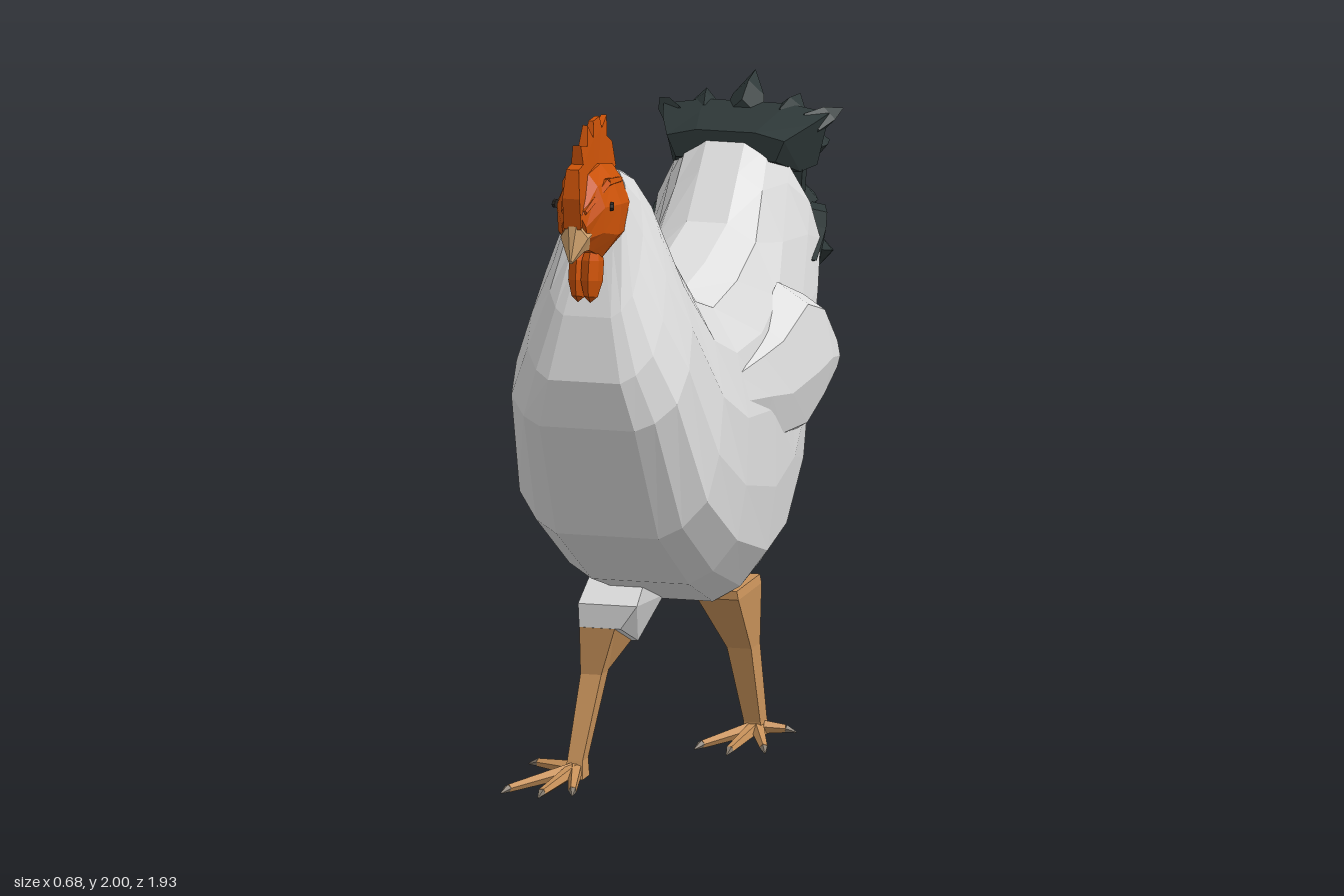
import * as THREE from 'three';

const V = (x, y, z) => new THREE.Vector3(x, y, z);
const mat = (name, color) => {
  const m = new THREE.MeshStandardMaterial({ color });
  m.name = name;
  return m;
};

// Faceted closed surface through equal-length rings, wound outward by signed volume
function loft(rings) {
  const tris = [], n = rings[0].length;
  const mid = r => r.reduce((s, p) => s.add(p), V(0, 0, 0)).divideScalar(n);
  for (let i = 0; i + 1 < rings.length; i++)
    for (let j = 0; j < n; j++) {
      const k = (j + 1) % n, A = rings[i], B = rings[i + 1];
      tris.push([A[j], A[k], B[k]], [A[j], B[k], B[j]]);
    }
  const first = rings[0], last = rings[rings.length - 1], c0 = mid(first), c1 = mid(last);
  for (let j = 0; j < n; j++) {
    const k = (j + 1) % n;
    tris.push([c0, first[k], first[j]], [c1, last[j], last[k]]);
  }
  const volume = tris.reduce((s, [a, b, c]) => s + a.dot(b.clone().cross(c)), 0);
  if (volume < 0) tris.forEach(t => t.reverse());
  const g = new THREE.BufferGeometry().setFromPoints(tris.flat());
  g.computeVertexNormals();
  return g;
}

function faceted(g) {
  const f = g.index ? g.toNonIndexed() : g;
  f.computeVertexNormals();
  return f;
}

// Rings spanned between a top and a bottom outline point:
// [topZ, topY, bottomZ, bottomY, halfWidth, lower squareness, upper narrowness]
function sections(stations, profile) {
  return stations.map(([tz, ty, bz, by, w, q, u]) => {
    const half = profile(q, u).map(([t, f]) => V(w * f, ty + (by - ty) * t, tz + (bz - tz) * t));
    return [...half, ...half.map(p => V(-p.x, p.y, p.z)).reverse()];
  });
}

// Four-sided horizontal rings: [x, y, z, halfX, halfZ, rise toward the front]
const legRings = list => list.map(([x, y, z, a, b, tilt = 0]) => [
  V(x - a, y + tilt, z + b), V(x + a, y + tilt, z + b), V(x + a, y - tilt, z - b), V(x - a, y - tilt, z - b)]);

// Tapered stick between two points
function stick(a, b, r1, r2, sides = 5) {
  const d = b.clone().sub(a);
  const g = new THREE.CylinderGeometry(r2, r1, d.length(), sides);
  g.applyQuaternion(new THREE.Quaternion().setFromUnitVectors(V(0, 1, 0), d.normalize()));
  const c = a.clone().add(b).multiplyScalar(0.5);
  return faceted(g.translate(c.x, c.y, c.z));
}

// Diamond-section pointed feather
function feather(base, tip, w, h) {
  const ring = (t, s) => {
    const c = base.clone().lerp(tip, t);
    return [V(c.x + w * s, c.y, c.z), V(c.x, c.y + h * s, c.z), V(c.x - w * s, c.y, c.z), V(c.x, c.y - h * s, c.z)];
  };
  return loft([ring(0, 1), ring(0.5, 0.75), ring(1, 0.02)]);
}

export function createModel() {
  const group = new THREE.Group();
  const white = mat('white plumage', 0xdedede), red = mat('comb orange', 0xcb5208);
  const tan = mat('leg tan', 0xc8925a), black = mat('tail black', 0x2d3737);
  const beakMat = mat('beak', 0xcda06c), dark = mat('eye dark', 0x2a2622), claw = mat('claw grey', 0x857a6c);
  const add = (name, geo, m, parent = group) => {
    const mesh = new THREE.Mesh(geo, m);
    mesh.name = name;
    parent.add(mesh);
  };

  // Body and neck
  const bodyProfile = (q, u) => [[0, 0.22], [0.05, 0.55 - 0.08 * u], [0.2, 0.82 - 0.14 * u], [0.42, 0.98 - 0.08 * u], [0.65, 1],
    [0.84, 0.9 + 0.06 * q], [0.95, 0.58 + 0.18 * q], [1, 0.25 + 0.3 * q]];
  add('body', loft(sections([
    [0.64, 1.85, 0.74, 1.63, 0.085, 0.5, 0],
    [0.53, 1.81, 0.8, 1.45, 0.125, 1, 0.4],
    [0.44, 1.72, 0.83, 1.27, 0.19, 1, 0.8],
    [0.33, 1.55, 0.8, 1.13, 0.25, 1, 0.8],
    [0.19, 1.41, 0.59, 0.78, 0.285, 0.9, 0.3],
    [0.05, 1.37, 0.25, 0.58, 0.287, 0.8, 0],
    [-0.2, 1.4, -0.13, 0.45, 0.28, 0.4, 0],
    [-0.44, 1.46, -0.38, 0.47, 0.265, 0.4, 0.2],
    [-0.56, 1.58, -0.59, 0.62, 0.255, 0.6, 0.7],
    [-0.65, 1.67, -0.72, 1.0, 0.25, 0.8, 1],
    [-0.68, 1.67, -0.77, 1.2, 0.245, 0.9, 1],
    [-0.82, 1.54, -0.79, 1.23, 0.205, 0.9, 0.5]], bodyProfile)), white);

  // Wings, emerging from the flank and flaring backward: [z, topY, bottomY, outerX, innerX]
  for (const s of [1, -1]) {
    const rings = [
      [0.12, 1.18, 1.0, 0.265, 0.2], [-0.1, 1.2, 0.93, 0.285, 0.2], [-0.26, 1.22, 0.87, 0.3, 0.2],
      [-0.45, 1.3, 0.85, 0.325, 0.2], [-0.54, 1.25, 0.93, 0.338, 0.25], [-0.61, 1.12, 1.02, 0.338, 0.31],
    ].map(([z, t, b, o, i]) => [
      V(s * i, t, z), V(s * (i + (o - i) * 0.72), t - (t - b) * 0.13, z), V(s * o, t - (t - b) * 0.55, z),
      V(s * (i + (o - i) * 0.7), b + (t - b) * 0.12, z), V(s * i, b, z)]);
    add(s > 0 ? 'leftWing' : 'rightWing', loft(rings), white);
  }

  // Tail: upper fan, core, lower fan and broad pointed feathers
  const tail = new THREE.Group();
  tail.name = 'tail';
  group.add(tail);
  const slab = (z, w, top, bottom) => [V(-w * 0.85, bottom, z), V(-w, top - 0.02, z), V(-w * 0.5, top, z),
    V(w * 0.5, top, z), V(w, top - 0.02, z), V(w * 0.85, bottom, z)];
  add('upperFan', loft([slab(-0.63, 0.17, 1.68, 1.6), slab(-0.75, 0.215, 1.705, 1.55), slab(-0.85, 0.24, 1.72, 1.55)]), black, tail);
  add('tailCore', loft([slab(-0.76, 0.19, 1.62, 1.22), slab(-0.845, 0.18, 1.62, 1.24)]), black, tail);
  add('lowerFan', loft([slab(-0.68, 0.25, 1.335, 1.31), slab(-0.76, 0.255, 1.41, 1.3), slab(-0.79, 0.25, 1.45, 1.21), slab(-0.84, 0.23, 1.46, 1.21)]), black, tail);
  // Half of the feathers, mirrored: base x, y, z, tip x, y, z, half width, half height
  for (const [bx, by, bz, tx, ty, tz, w, h] of [
    [0, 1.68, -0.8, 0, 1.79, -0.94, 0.06, 0.055], [0.11, 1.67, -0.8, 0.135, 1.735, -0.92, 0.06, 0.045], [0.18, 1.66, -0.8, 0.265, 1.705, -0.9, 0.045, 0.045],
    [0.16, 1.6, -0.83, 0.21, 1.6, -0.955, 0.05, 0.06], [0.05, 1.59, -0.82, 0.06, 1.62, -0.93, 0.07, 0.07],
    [0.13, 1.44, -0.82, 0.17, 1.45, -0.94, 0.065, 0.07], [0, 1.46, -0.82, 0, 1.46, -0.92, 0.07, 0.07],
    [0.17, 1.32, -0.8, 0.22, 1.285, -0.96, 0.06, 0.07], [0.07, 1.33, -0.82, 0.09, 1.34, -0.93, 0.07, 0.06],
    [0.15, 1.25, -0.8, 0.18, 1.225, -0.91, 0.06, 0.04], [0, 1.25, -0.8, 0, 1.235, -0.95, 0.08, 0.04]])
    for (const s of bx ? [1, -1] : [1])
      add('tailFeather', feather(V(s * bx, by, bz), V(s * tx, ty, tz), w, h), black, tail);

  // Head
  const headProfile = () => [[0, 0.3], [0.15, 0.68], [0.42, 1], [0.75, 0.95], [1, 0.45]];
  add('head', loft(sections([
    [0.63, 1.853, 0.735, 1.625, 0.088], [0.76, 1.88, 0.79, 1.62, 0.092],
    [0.86, 1.87, 0.86, 1.65, 0.07], [0.95, 1.78, 0.91, 1.67, 0.035]], headProfile)), red);

  // Comb: serrated plate thickening toward the skull
  const comb = new THREE.Shape([[0.59, 1.84], [0.6, 1.91], [0.645, 1.935], [0.625, 1.99], [0.685, 1.965], [0.695, 2], [0.76, 2],
    [0.775, 1.955], [0.82, 2], [0.84, 1.945], [0.905, 1.96], [0.9, 1.905], [0.95, 1.9], [0.965, 1.82], [0.95, 1.73], [0.8, 1.8]]
    .map(p => new THREE.Vector2(...p)));
  const combGeo = new THREE.ExtrudeGeometry(comb, { depth: 0.014, bevelEnabled: false }).rotateY(-Math.PI / 2).translate(0.007, 0, 0);
  const cp = combGeo.attributes.position;
  for (let i = 0; i < cp.count; i++) cp.setX(i, cp.getX(i) * (1 + 16 * Math.min(0.16, 2 - cp.getY(i))));
  add('comb', faceted(combGeo), red);

  // Beak
  add('beak', loft(sections([
    [0.9, 1.77, 0.86, 1.655, 0.047], [0.95, 1.745, 0.91, 1.66, 0.04], [0.972, 1.645, 0.965, 1.635, 0.006]],
    () => [[0, 0.3], [0.5, 1], [1, 0.6]])), beakMat);

  // Wattles, brows and eyes
  for (const s of [1, -1]) {
    const wattle = new THREE.SphereGeometry(1, 7, 5).scale(0.03, 0.09, 0.066).rotateX(-0.2);
    add('wattle', faceted(wattle.translate(s * 0.018, 1.585, 0.812)), red);
    add('brow', stick(V(s * 0.06, 1.82, 0.68), V(s * 0.056, 1.835, 0.8), 0.01, 0.015), red);
    add('browFront', stick(V(s * 0.056, 1.835, 0.8), V(s * 0.03, 1.775, 0.93), 0.015, 0.008), red);
    const eye = new THREE.CylinderGeometry(0.018, 0.018, 0.009, 8).rotateZ(Math.PI / 2).scale(1, 0.7, 1).rotateY(s * 0.22);
    add('eye', faceted(eye.translate(s * 0.081, 1.775, 0.83)), dark);
  }

  // Legs: right one steps forward, left one trails
  add('rightThigh', loft(legRings([[-0.11, 0.56, -0.02, 0.08, 0.1], [-0.12, 0.475, 0.02, 0.085, 0.14, 0.012], [-0.142, 0.385, 0.07, 0.06, 0.09, 0.035]])), white);
  const legs = [
    ['rightLeg', [[-0.15, 0.39, 0.07, 0.052, 0.088, 0.035], [-0.17, 0.285, 0.115, 0.03, 0.038], [-0.192, 0.055, 0.21, 0.022, 0.03], [-0.195, 0.005, 0.22, 0.03, 0.036]],
      V(-0.195, 0.03, 0.22), [[-0.32, 0.018, 0.47], [-0.215, 0.018, 0.5], [-0.14, 0.018, 0.45], [-0.31, 0.035, 0.195]]],
    ['leftLeg', [[0.11, 0.48, -0.26, 0.06, 0.12], [0.115, 0.455, -0.26, 0.06, 0.12], [0.135, 0.285, -0.335, 0.035, 0.046], [0.158, 0.065, -0.375, 0.024, 0.034], [0.16, 0.025, -0.38, 0.03, 0.036]],
      V(0.16, 0.045, -0.38), [[0.24, 0.032, -0.17], [0.155, 0.032, -0.12], [0.06, 0.032, -0.17], [0.24, 0.04, -0.395]]],
  ];
  for (const [name, rings, foot, toes] of legs) {
    add(name, loft(legRings(rings)), tan);
    for (const t of toes) {
      const end = V(...t), dir = end.clone().sub(foot).normalize();
      add('toe', stick(foot, end, 0.022, 0.012), tan);
      add('claw', stick(end, end.clone().addScaledVector(dir, 0.03).add(V(0, -0.008, 0)), 0.012, 0.002), claw);
    }
  }
  return group;
}
